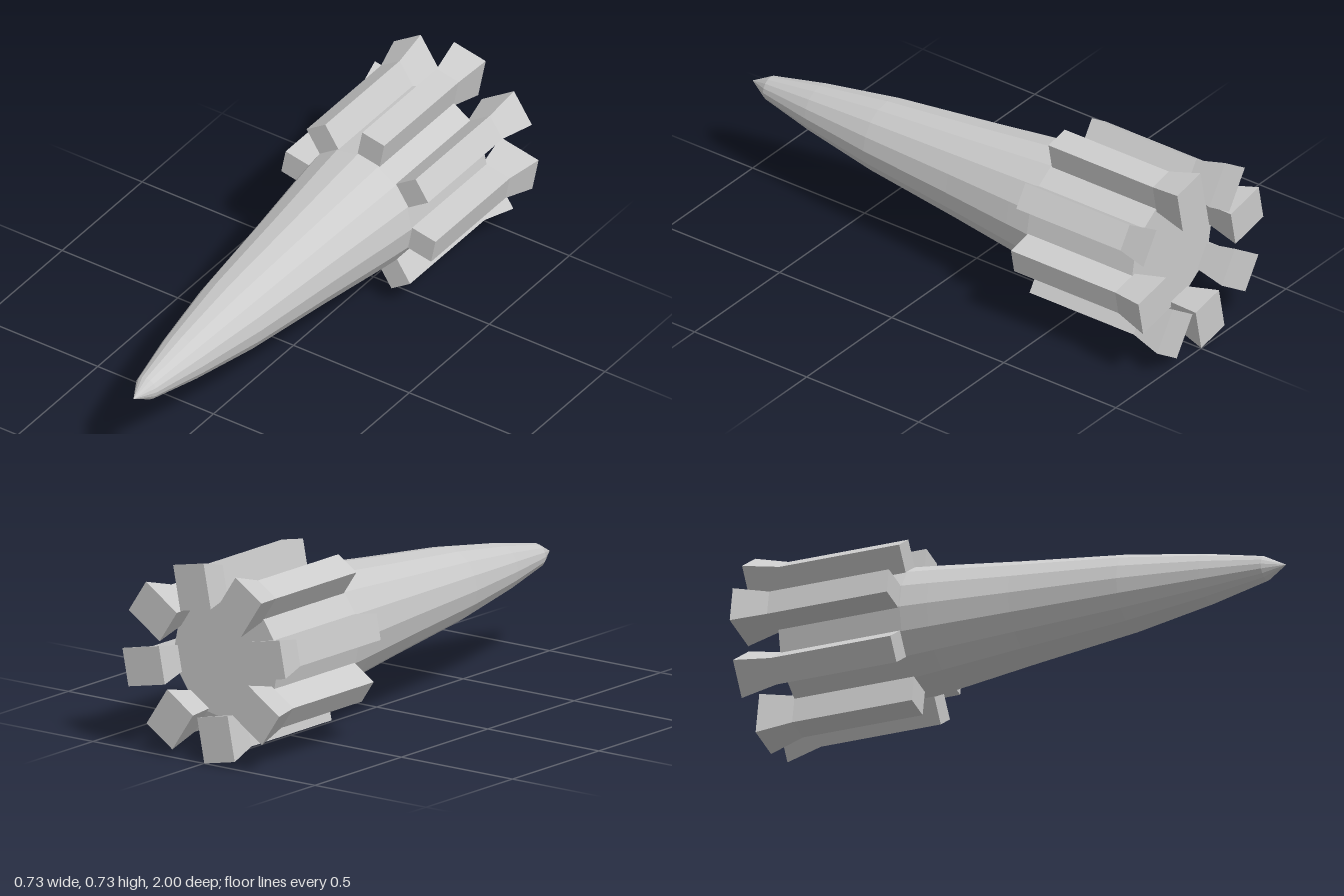
import * as THREE from 'three';

const AXIS_Y = 0.367;
const material = new THREE.MeshStandardMaterial({ color: 0xcccccc, flatShading: true });

// Straight bar along z whose rear end flares outward
function finGeometry() {
  const geo = new THREE.BoxGeometry(0.097, 0.116, 2, 1, 1, 2);
  const p = geo.attributes.position;
  for (let i = 0; i < p.count; i++) {
    const z = p.getZ(i);
    const rear = z < -0.5;
    const s = rear ? 1.44 : 1;
    p.setXYZ(i, p.getX(i) * s, p.getY(i) * s + (rear ? 0.277 : 0.272),
      z > 0.5 ? -0.405 : rear ? -1 : -0.87);
  }
  geo.computeVertexNormals();
  return geo;
}

export function createModel() {
  const model = new THREE.Group();
  model.name = 'dart';

  // Sixteen-sided tapering body with a pointed nose and flat rear
  const profile = [
    [0, -0.87], [0.233, -0.87], [0.233, -0.4], [0.222, -0.3], [0.185, 0],
    [0.14, 0.4], [0.091, 0.7], [0.045, 0.92], [0, 1],
  ].map(([r, z]) => new THREE.Vector2(r, z));
  const body = new THREE.Mesh(new THREE.LatheGeometry(profile, 16), material);
  body.name = 'body';
  body.rotation.x = Math.PI / 2;
  body.position.y = AXIS_Y;
  model.add(body);

  // Ring of eight flared fins, centred on the body's facets
  const fins = new THREE.Group();
  fins.name = 'fins';
  fins.position.y = AXIS_Y;
  const geo = finGeometry();
  for (let i = 0; i < 8; i++) {
    const fin = new THREE.Mesh(geo, material);
    fin.name = 'fin';
    fin.rotation.z = -Math.PI / 16 - i * Math.PI / 4;
    fins.add(fin);
  }
  model.add(fins);
  return model;
}
